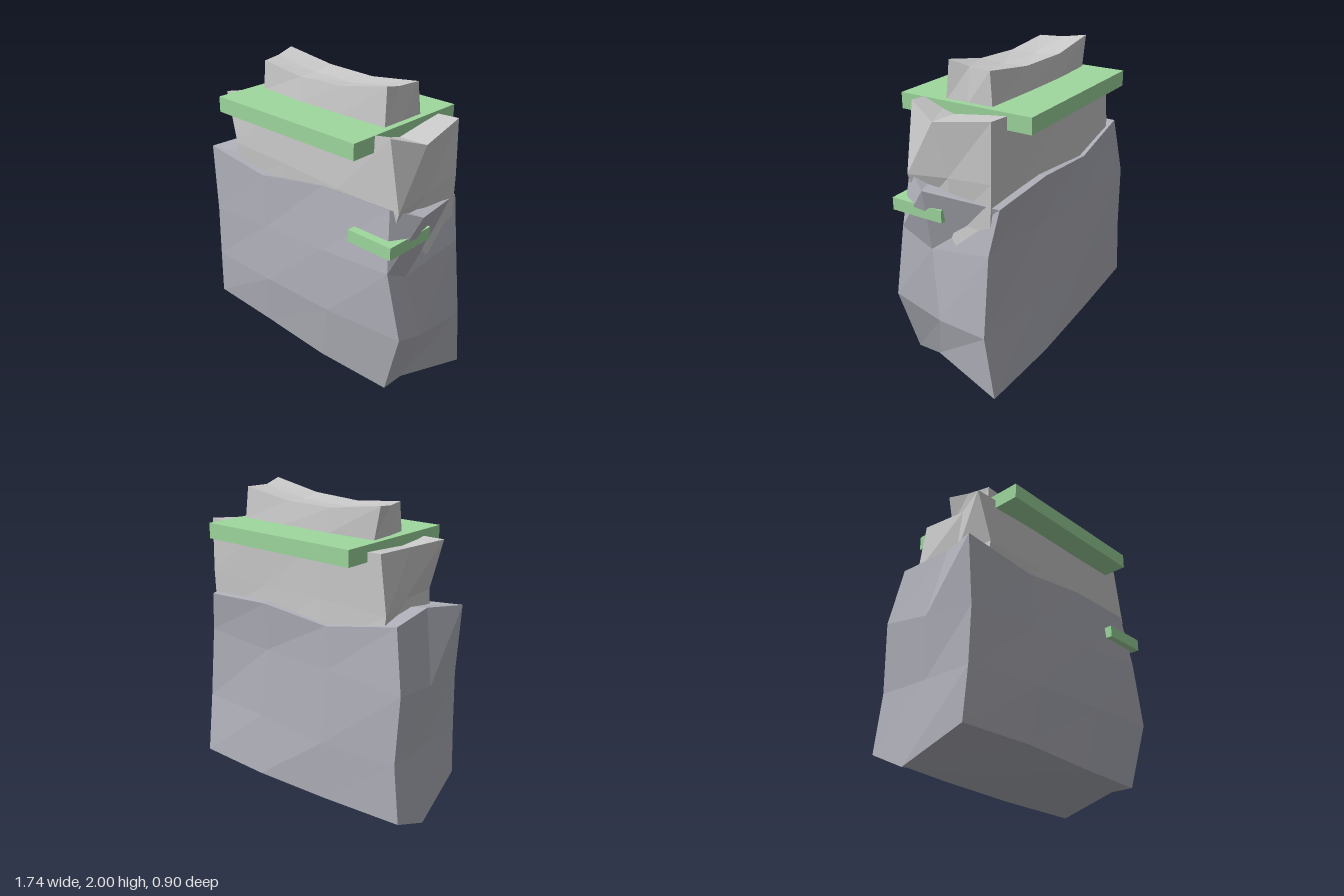
import * as THREE from 'three';

const material = (color) => new THREE.MeshStandardMaterial({ color, flatShading: true });

// Small repeatable wobble in the range -1..1
const wobble = (a, b, c) => {
  const s = Math.sin(a * 12.9 + b * 78.2 + c * 37.7) * 43758.5;
  return (s - Math.floor(s)) * 2 - 1;
};

// Chunky rock: each level (bottom to top) lists the left end then the right end,
// each end as front, middle and back points. Columns between are blended.
// The top rim follows sag, belly swells front and back per level.
function rock(name, color, levels, sag, belly, rough) {
  const rows = levels.length - 1;
  const geo = new THREE.BoxGeometry(1, 1, 1, 3, rows, 2);
  const pos = geo.attributes.position;
  for (let i = 0; i < pos.count; i++) {
    const col = Math.round((pos.getX(i) + 0.5) * 3);
    const row = Math.round((pos.getY(i) + 0.5) * rows);
    const depth = Math.round((0.5 - pos.getZ(i)) * 2);
    const left = new THREE.Vector3(...levels[row][depth]);
    const right = new THREE.Vector3(...levels[row][depth + 3]);
    const p = left.lerp(right, col / 3);
    if (col === 1 || col === 2) {
      p.y += row === rows ? sag[col - 1] : wobble(col, row, depth) * rough;
      p.z += wobble(row + 5, depth, col) * rough * 0.5 + (1 - depth) * belly[row];
    }
    pos.setXYZ(i, p.x, p.y, p.z);
  }
  const flat = geo.toNonIndexed();
  flat.computeVertexNormals();
  const mesh = new THREE.Mesh(flat, material(color));
  mesh.name = name;
  return mesh;
}

// Flat slab given by its minimum and maximum corners
function slab(name, min, max) {
  const size = max.map((v, i) => v - min[i]);
  const mesh = new THREE.Mesh(new THREE.BoxGeometry(...size), material(0x9fd89f));
  mesh.position.set(...max.map((v, i) => (v + min[i]) / 2));
  mesh.name = name;
  return mesh;
}

export function createModel() {
  const model = new THREE.Group();
  model.name = 'stackedRocks';

  // Large base boulder
  model.add(rock('baseRock', 0xb0b1ba, [
    [[-0.82, 0.17, 0.33], [-0.87, 0, -0.08], [-0.87, 0.12, -0.35],
      [0.74, 0.12, 0.3], [0.74, 0.12, 0.14], [0.84, 0.03, -0.35]],
    [[-0.8, 0.5, 0.34], [-0.81, 0.5, 0], [-0.83, 0.5, -0.35],
      [0.87, 0.57, 0.34], [0.82, 0.44, 0.06], [0.85, 0.45, -0.29]],
    [[-0.79, 0.87, 0.34], [-0.83, 0.9, 0], [-0.85, 0.95, -0.34],
      [0.77, 0.99, 0.35], [0.75, 0.88, 0.15], [0.79, 0.97, -0.29]],
    [[-0.82, 1.33, 0.33], [-0.74, 1.36, 0.06], [-0.78, 1.34, -0.3],
      [0.73, 1.37, 0.3], [0.84, 1.3, 0.13], [0.73, 1.25, -0.33]],
  ], [-0.07, 0], [0.02, 0.03, 0.01, 0.015], 0.018));

  // Middle boulder, sunk into the base
  model.add(rock('middleRock', 0xcccccc, [
    [[-0.64, 0.8, 0.26], [-0.66, 0.8, 0], [-0.64, 0.84, -0.28],
      [0.66, 0.8, 0.26], [0.77, 0.86, -0.06], [0.66, 0.82, -0.28]],
    [[-0.64, 1.1, 0.27], [-0.65, 1.1, 0], [-0.66, 1.14, -0.3],
      [0.7, 1.1, 0.26], [0.74, 1.1, 0], [0.75, 1.1, -0.28]],
    [[-0.6, 1.4, 0.29], [-0.62, 1.4, 0], [-0.69, 1.37, -0.28],
      [0.78, 1.35, 0.28], [0.76, 1.38, 0], [0.75, 1.4, -0.29]],
    [[-0.7, 1.73, 0.27], [-0.62, 1.71, 0.05], [-0.64, 1.73, -0.28],
      [0.7, 1.78, 0.28], [0.79, 1.71, 0.07], [0.74, 1.76, -0.29]],
  ], [-0.02, -0.02], [0, 0.01, 0.01, 0.01], 0.018));

  // Narrow capstone with a dipped top
  model.add(rock('topRock', 0xcccccc, [
    [[-0.46, 1.58, 0.13], [-0.48, 1.58, 0], [-0.49, 1.58, -0.15],
      [0.52, 1.58, 0.14], [0.53, 1.58, 0], [0.52, 1.58, -0.16]],
    [[-0.48, 1.76, 0.14], [-0.5, 1.76, 0], [-0.51, 1.77, -0.17],
      [0.55, 1.76, 0.15], [0.55, 1.76, 0], [0.55, 1.76, -0.17]],
    [[-0.47, 1.95, 0.13], [-0.51, 1.95, -0.02], [-0.55, 1.97, -0.17],
      [0.54, 2, 0.13], [0.52, 1.97, 0], [0.54, 1.97, -0.15]],
  ], [-0.05, -0.05], [0, 0.015, 0.01], 0.012));

  // Grassy ledges
  model.add(slab('topLedge', [-0.55, 1.67, -0.45], [0.59, 1.77, 0.45]));
  model.add(slab('sideLedge', [0.49, 1.11, 0.02], [0.81, 1.19, 0.38]));
  return model;
}
